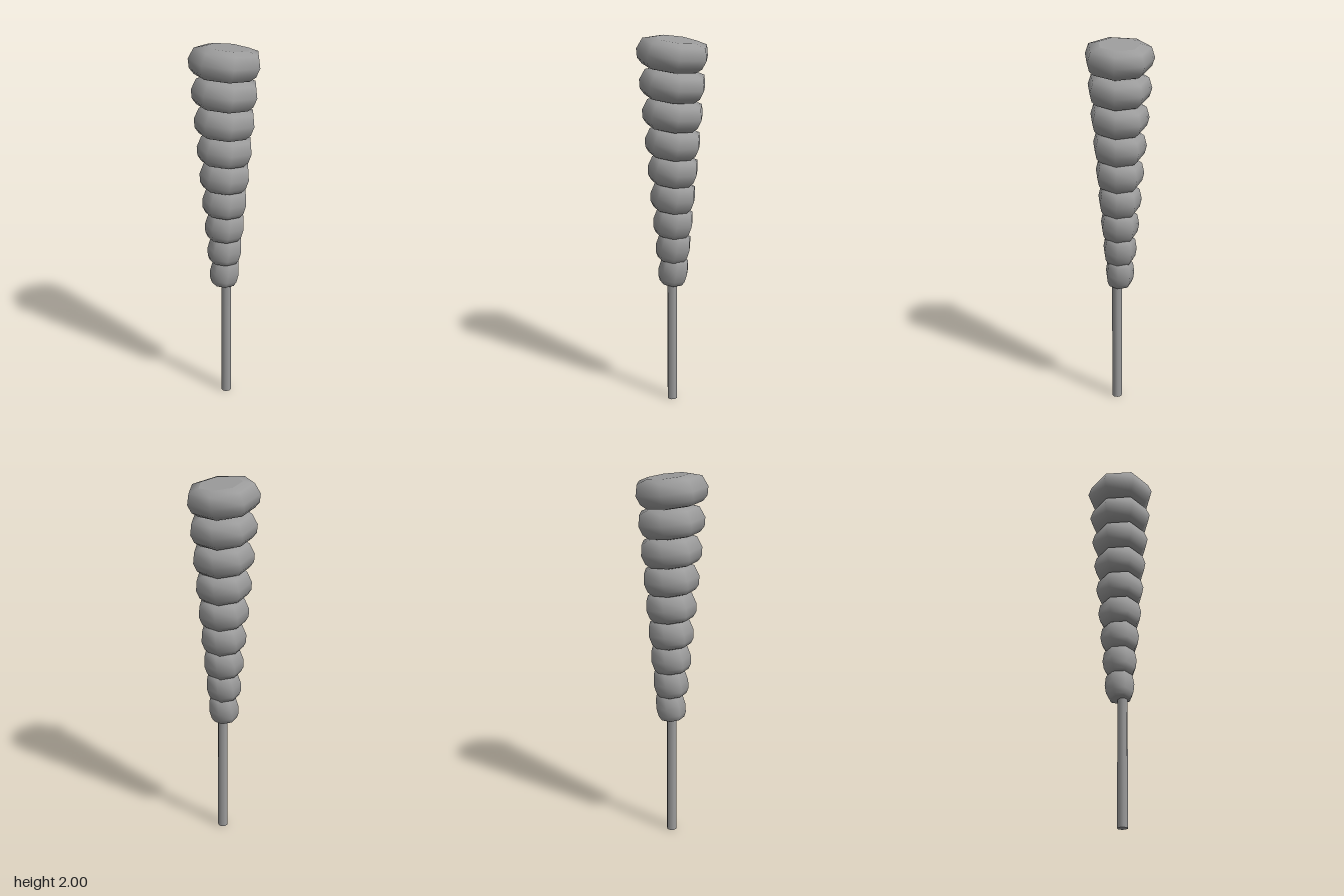
import * as THREE from 'three';

const SIDES = 7;
// Seven-sided turned shape, leaning slightly towards +x
const lathe = (pts) => new THREE.LatheGeometry(
  pts.map(([r, y]) => new THREE.Vector2(r, y)), SIDES, Math.PI)
  .applyMatrix4(new THREE.Matrix4().makeShear(0, 0, 0.5, 0, 0, 0));

export function createModel() {
  const group = new THREE.Group();
  const material = new THREE.MeshStandardMaterial({ color: 0x9c9c9c });

  // One rib of unit radius: soft rounded wall with flat caps
  const wall = lathe([[0.64, -0.077], [0.78, -0.071], [0.93, -0.045], [1, 0], [0.9, 0.057], [0.6, 0.073]]);
  const bottomCap = lathe([[0, -0.077], [0.64, -0.077]]);
  const topCap = lathe([[0.6, 0.073], [0, 0.073]]);

  // Nine tilted ribs, narrowing and closing up towards the stick
  let y = 1.914;
  for (let i = 0; i < 9; i++) {
    const radius = 0.183 - 0.013 * i;
    const rib = new THREE.Group();
    rib.name = `rib${i + 1}`;
    [['ribWall', wall], ['ribBottom', bottomCap], ['ribTop', topCap]].forEach(([name, geometry]) => {
      const mesh = new THREE.Mesh(geometry, material);
      mesh.name = name;
      rib.add(mesh);
    });
    rib.scale.set(radius * 1.045, 1, radius);
    rib.rotation.z = -0.13;
    rib.position.set(0, y, 0.04 * radius);
    group.add(rib);
    y -= 0.155 - 0.0028 * i;
  }

  // Thin stick, running up inside the ribs
  const stick = new THREE.Mesh(new THREE.CylinderGeometry(0.027, 0.027, 1.85, 8), material);
  stick.name = 'stick';
  stick.position.set(-0.004, 0.925, 0.017);
  group.add(stick);

  return group;
}
